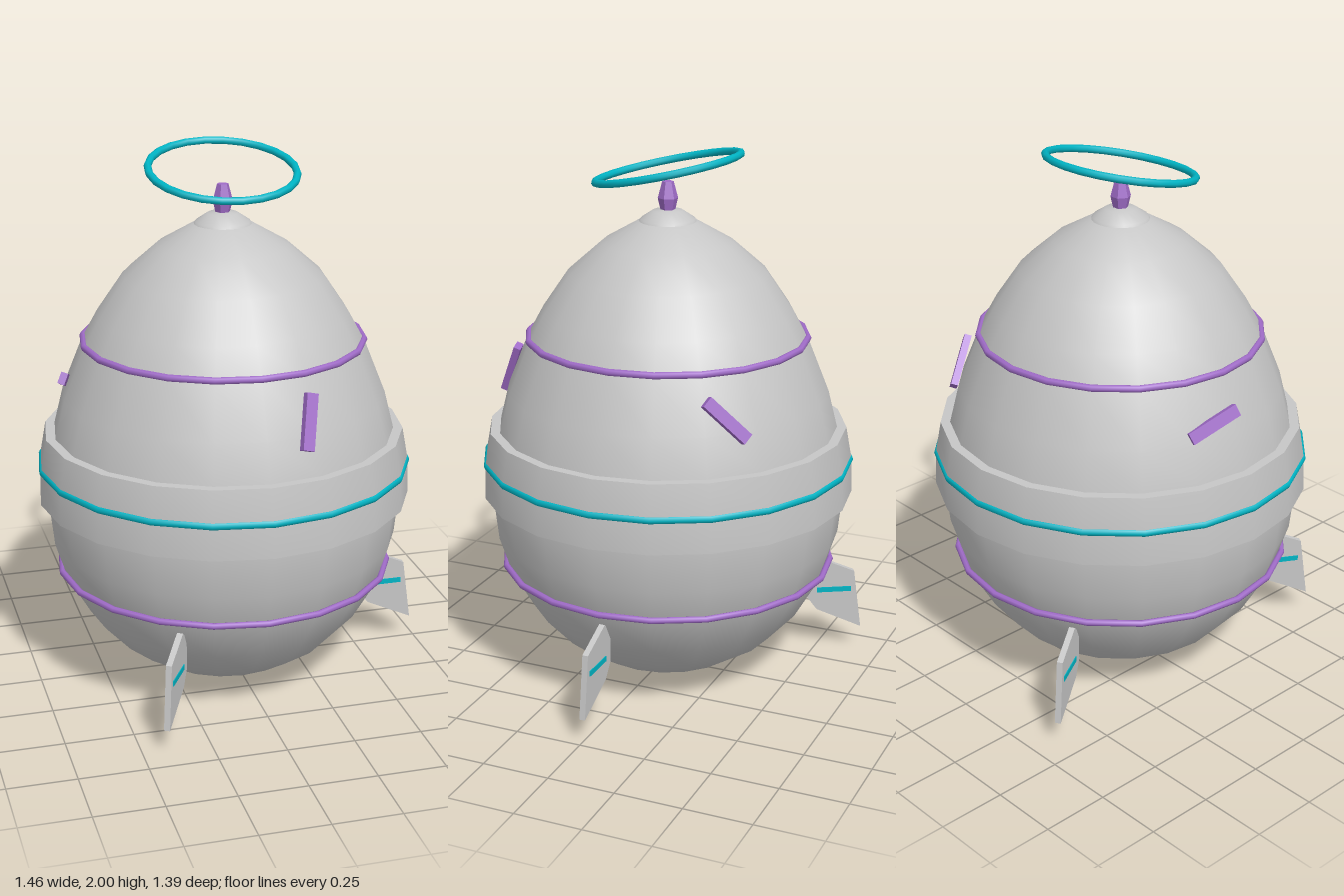
import * as THREE from 'three';
import { toCreasedNormals } from 'three/addons/utils/BufferGeometryUtils.js';

const material = (name, color) => {
  const m = new THREE.MeshStandardMaterial({ color });
  m.name = name;
  return m;
};

export function createModel() {
  const grey = material('shellGrey', 0xc6c6c6);
  const purple = material('accentPurple', 0xa06cc8);
  const teal = material('glowTeal', 0x00b4c4);

  const model = new THREE.Group();
  model.name = 'eggRocket';
  model.position.x = -0.034;

  const add = (name, geometry, mat, parent = model) => {
    const mesh = new THREE.Mesh(geometry, mat);
    mesh.name = name;
    parent.add(mesh);
    return mesh;
  };
  const lathe = (points, segments, phi = 0) =>
    new THREE.LatheGeometry(points.map(([r, y]) => new THREE.Vector2(r, y)), segments, phi);

  // Egg-shaped hull
  add('hull', lathe([
    [0, 0.005], [0.147, 0.023], [0.288, 0.072], [0.415, 0.155], [0.518, 0.268],
    [0.597, 0.405], [0.645, 0.555], [0.662, 0.715], [0.652, 0.85], [0.631, 0.97],
    [0.596, 1.11], [0.52, 1.3], [0.46, 1.41], [0.365, 1.55], [0.24, 1.66],
    [0.11, 1.735], [0, 1.76],
  ], 20), grey);

  // Small domed cap and faceted tip
  add('cap', lathe([[0.11, 1.725], [0.1, 1.745], [0.055, 1.775], [0, 1.782]], 20), grey);
  add('tip', toCreasedNormals(
    lathe([[0, 1.765], [0.024, 1.765], [0.037, 1.82], [0.021, 1.88], [0, 1.88]], 6, Math.PI / 2), 0.3), purple);

  // Raised belt around the middle
  add('belt', toCreasedNormals(lathe([
    [0.655, 0.72], [0.693, 0.72], [0.688, 0.85], [0.666, 0.97], [0.628, 0.97], [0.655, 0.72],
  ], 20), 0.6), grey);

  // Trim rings
  const ring = (name, radius, tube, y, mat, segments = 20, tilt = 0) => {
    const mesh = add(name, new THREE.TorusGeometry(radius, tube, 8, segments), mat);
    mesh.position.y = y;
    mesh.rotation.x = Math.PI / 2 + tilt;
  };
  ring('upperRing', 0.515, 0.013, 1.31, purple);
  ring('lowerRing', 0.62, 0.012, 0.44, purple);
  ring('beltRing', 0.68, 0.015, 0.845, teal);
  ring('halo', 0.267, 0.014, 1.93, teal, 24, 0.215);

  // Three fins, each with a stripe through both faces
  const finShape = new THREE.Shape([
    [0.545, 0.23], [0.585, 0.175], [0.762, 0.093], [0.73, 0.33], [0.59, 0.39], [0.545, 0.35],
  ].map(([x, y]) => new THREE.Vector2(x, y)));
  const finGeometry = new THREE.ExtrudeGeometry(finShape, { depth: 0.022, bevelEnabled: false });
  finGeometry.translate(0, 0, -0.011);
  const stripeGeometry = new THREE.BoxGeometry(0.135, 0.02, 0.028);
  stripeGeometry.translate(0.652, 0.257, 0);
  for (let i = 0; i < 3; i++) {
    const fin = new THREE.Group();
    fin.name = 'fin' + (i + 1);
    fin.rotation.y = i * Math.PI * 2 / 3;
    add('finBlade', finGeometry, grey, fin);
    add('finStripe', stripeGeometry, teal, fin);
    model.add(fin);
  }

  // Slanted bars lying on the hull: centre and long direction
  const bars = [
    [[0.154, 1.16, 0.57], [0.037, 0.18, -0.08]],
    [[0.43, 1.162, -0.405], [0.07, 0.145, 0.13]],
    [[-0.575, 1.165, -0.1], [-0.043, 0.07, 0.19]],
  ];
  bars.forEach(([centre, direction], i) => {
    const c = new THREE.Vector3(...centre);
    const along = new THREE.Vector3(...direction).normalize();
    const out = new THREE.Vector3(c.x, 0, c.z).normalize().setY(0.42);
    out.addScaledVector(along, -out.dot(along)).normalize();
    const side = new THREE.Vector3().crossVectors(along, out);
    const bar = add('bar' + (i + 1), new THREE.BoxGeometry(0.044, 0.2, 0.026), purple);
    bar.quaternion.setFromRotationMatrix(new THREE.Matrix4().makeBasis(side, along, out));
    bar.position.copy(c);
  });

  const root = new THREE.Group();
  root.name = 'model';
  root.add(model);
  return root;
}
